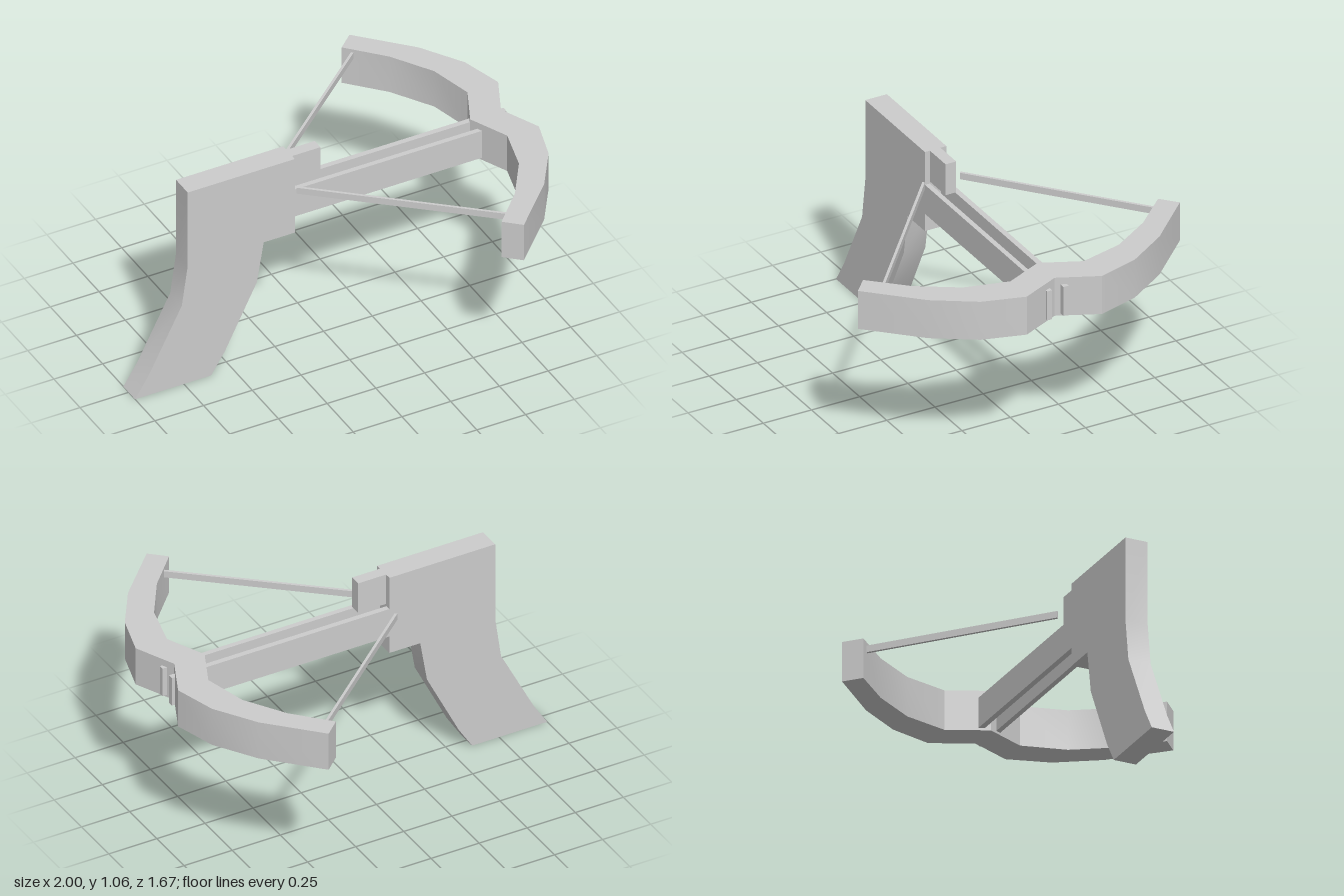
import * as THREE from 'three';
import { toCreasedNormals } from 'three/addons/utils/BufferGeometryUtils.js';

const material = new THREE.MeshStandardMaterial({ color: 0xcccccc });

function add(parent, name, geometry) {
  const mesh = new THREE.Mesh(geometry, material);
  mesh.name = name;
  parent.add(mesh);
  return mesh;
}

// Extrude an outline, keeping only real corners sharp.
function slab(points, depth) {
  const shape = new THREE.Shape(points.map(([x, y]) => new THREE.Vector2(x, y)));
  const geometry = new THREE.ExtrudeGeometry(shape, { depth, bevelEnabled: false });
  return toCreasedNormals(geometry, 0.6);
}

// Box given by its lower and upper limits on each axis.
function block(x0, x1, y0, y1, z0, z1) {
  return new THREE.BoxGeometry(x1 - x0, y1 - y0, z1 - z0)
    .translate((x0 + x1) / 2, (y0 + y1) / 2, (z0 + z1) / 2);
}

export function createModel() {
  const model = new THREE.Group();
  model.name = 'crossbow';

  // Body and slanted grip, cut from one side profile
  const body = slab([
    [-1, 0], [-0.61, 0], [-0.54, 0.11], [-0.375, 0.44], [-0.34, 0.65], [-0.18, 0.65],
    [-0.18, 1.06], [-0.73, 1.06], [-0.73, 0.65], [-0.76, 0.44], [-0.93, 0.11],
  ], 0.112);
  add(model, 'bodyAndGrip', body.translate(0, 0, -0.051));

  // Block projecting ahead of the body, above the rails
  add(model, 'sightBlock', block(-0.18, -0.035, 0.9, 1.06, -0.02, 0.035));

  // Two parallel rails with an open slot between them
  add(model, 'rightRail', block(-0.18, 0.95, 0.74, 0.89, 0.036, 0.061));
  add(model, 'leftRail', block(-0.18, 0.95, 0.74, 0.89, -0.051, -0.024));

  // Bow: half outlines from the centre to the tip, mirrored across z
  const outer = [[0.91, 0], [1, 0.195], [0.94, 0.4], [0.81, 0.6], [0.58, 0.835]];
  const inner = [[0.752, 0], [0.84, 0.19], [0.785, 0.405], [0.66, 0.6], [0.503, 0.765]];
  const mirror = (points) => points.slice(1).map(([x, z]) => [x, -z]);
  const outline = [
    ...mirror(outer).reverse(), ...outer,
    ...inner.slice().reverse(), ...mirror(inner),
  ];
  const bow = add(model, 'bow', slab(outline, 0.197));
  bow.rotation.x = Math.PI / 2;
  bow.position.y = 0.925;

  // String halves: thin straight bars from the body to each bow tip
  const strings = [
    ['rightString', [-0.175, 0.07], [0.575, 0.705]],
    ['leftString', [-0.175, -0.12], [0.545, -0.735]],
  ];
  for (const [name, [x0, z0], [x1, z1]] of strings) {
    const length = Math.hypot(x1 - x0, z1 - z0);
    const string = add(model, name, new THREE.BoxGeometry(length, 0.033, 0.013));
    string.position.set((x0 + x1) / 2, 0.892, (z0 + z1) / 2);
    string.rotation.y = -Math.atan2(z1 - z0, x1 - x0);
  }

  return model;
}
